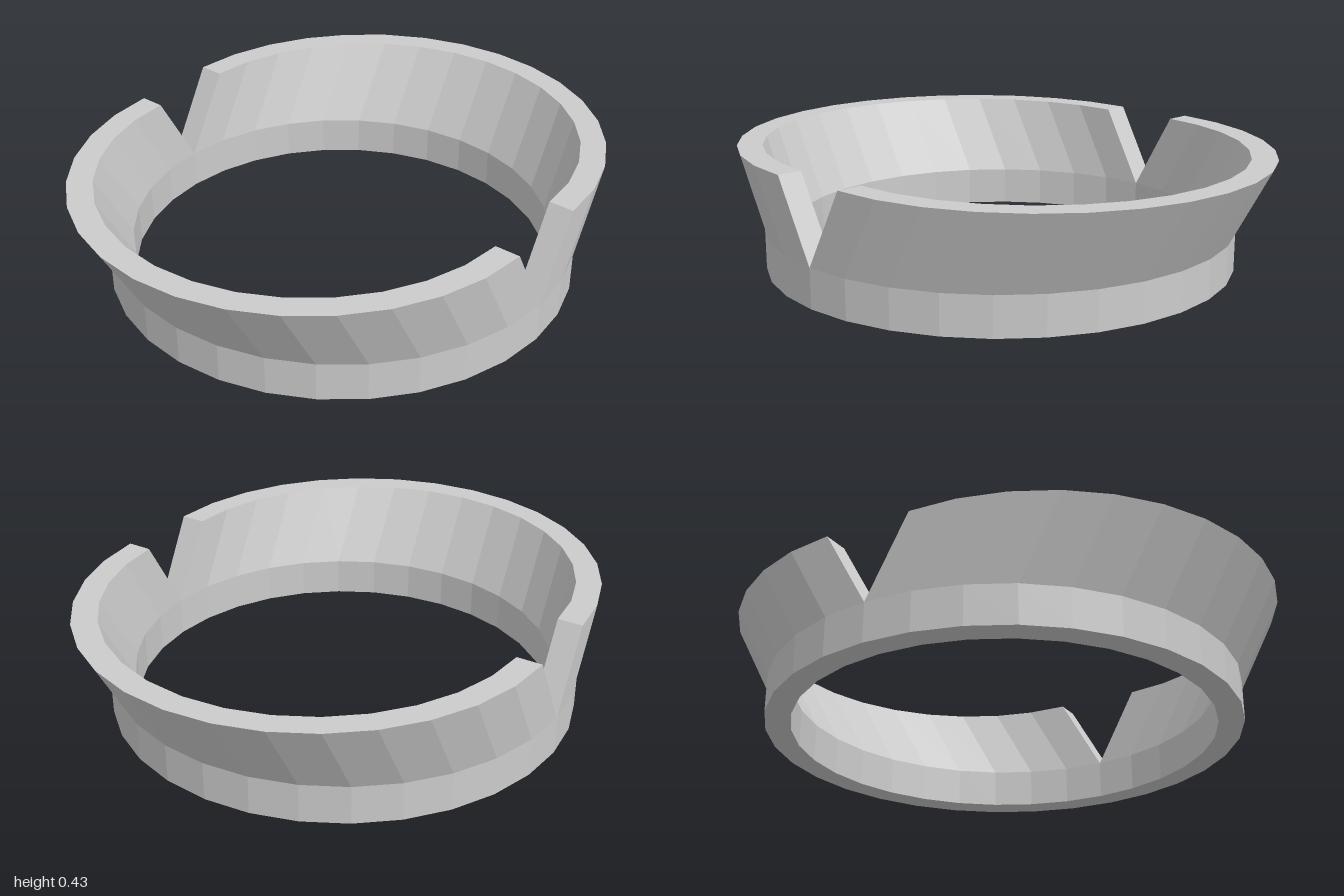
import * as THREE from 'three';

const OUTER = 0.84, INNER = 0.75, BAND = 0.14, CENTRE = 0.004;

export function createModel() {
  const model = new THREE.Group();
  model.name = 'splitCollar';
  const material = new THREE.MeshStandardMaterial({ color: 0xcccccc, flatShading: true });

  // Lean everything above the base band along z, reaching the full lean at the rim
  function addLeaning(parent, name, geometry, top, lean) {
    const flat = geometry.index ? geometry.toNonIndexed() : geometry;
    const p = flat.attributes.position;
    for (let i = 0; i < p.count; i++) {
      const t = Math.max(0, (p.getY(i) - BAND) / (top - BAND));
      p.setZ(i, p.getZ(i) + CENTRE + t * lean);
    }
    flat.computeVertexNormals();
    const mesh = new THREE.Mesh(flat, material);
    mesh.name = name;
    parent.add(mesh);
  }

  // Half collar: straight base band with a leaning lip above it
  function addHalf(name, isFront, top, lean) {
    const half = new THREE.Group();
    half.name = name;
    const profile = [
      [OUTER, 0], [OUTER, BAND], [OUTER, top],
      [INNER, top], [INNER, BAND], [INNER, 0], [OUTER, 0],
    ].map(([r, y]) => new THREE.Vector2(r, y));
    const start = isFront ? -Math.PI / 2 : Math.PI / 2;
    addLeaning(half, name + 'Wall', new THREE.LatheGeometry(profile, 16, start, Math.PI), top, lean);

    // Sloping end faces that form the sides of the V notches
    for (const side of [-1, 1]) {
      const end = new THREE.PlaneGeometry(OUTER - INNER, top - BAND);
      if (isFront) end.rotateY(Math.PI);
      end.translate(side * (OUTER + INNER) / 2, (top + BAND) / 2, 0);
      addLeaning(half, side > 0 ? 'leftNotchFace' : 'rightNotchFace', end, top, lean);
    }
    model.add(half);
  }

  addHalf('frontHalf', true, 0.418, 0.156);
  addHalf('backHalf', false, 0.427, -0.164);
  return model;
}
